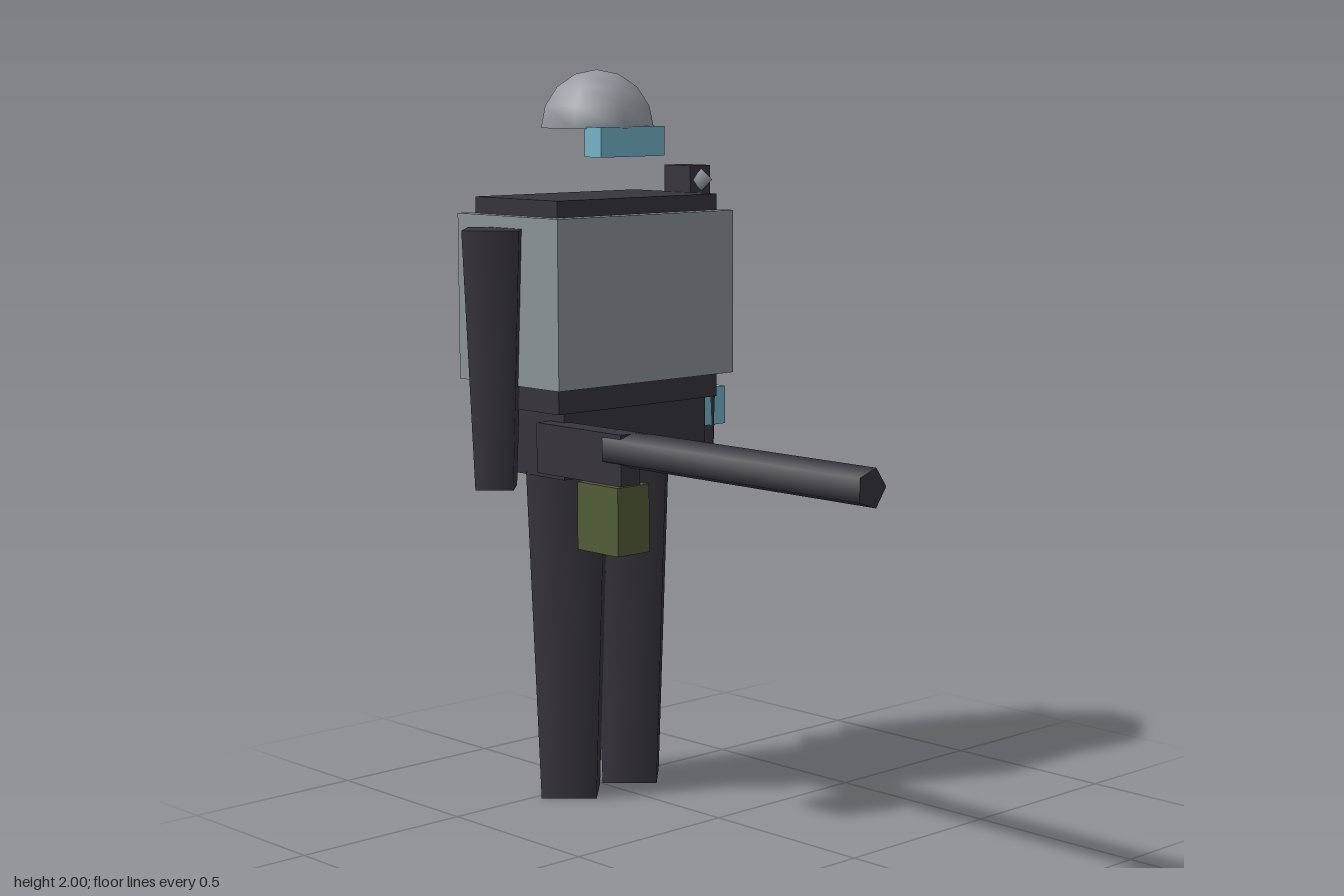
import * as THREE from 'three';

export function createModel() {
  const model = new THREE.Group();
  model.name = 'trooper';

  const material = (name, color) => {
    const m = new THREE.MeshStandardMaterial({ color });
    m.name = name;
    return m;
  };
  const dark = material('darkSuit', 0x37353c);
  const grey = material('armourGrey', 0x8c9599);
  const helmetGrey = material('helmetGrey', 0x959ba2);
  const blue = material('visorBlue', 0x74b8cc);
  const olive = material('oliveGreen', 0x535e37);

  const add = (name, geometry, mat, x, y, z) => {
    const mesh = new THREE.Mesh(geometry, mat);
    mesh.name = name;
    mesh.position.set(x, y, z);
    model.add(mesh);
    return mesh;
  };
  // Box given by its lower and upper corners
  const box = (name, mat, [x0, y0, z0], [x1, y1, z1]) =>
    add(name, new THREE.BoxGeometry(x1 - x0, y1 - y0, z1 - z0), mat,
      (x0 + x1) / 2, (y0 + y1) / 2, (z0 + z1) / 2);
  // Four-sided tapered column with a corner facing forward
  const column = (name, mat, rTop, rBottom, y0, y1, x, z) =>
    add(name, new THREE.CylinderGeometry(rTop, rBottom, y1 - y0, 4), mat, x, (y0 + y1) / 2, z);

  const bodyZ = -0.477;

  // Body and chest armour
  box('hips', dark, [-0.26, 0.915, -0.63], [0.26, 1.095, -0.323]);
  box('torso', dark, [-0.29, 1.095, -0.647], [0.29, 1.66, -0.308]);
  box('chestArmour', grey, [-0.32, 1.163, -0.687], [0.32, 1.615, -0.272]);

  // Limbs and back tanks, mirrored
  for (const [side, s] of [['left', 1], ['right', -1]]) {
    column(side + 'Leg', dark, 0.151, 0.108, 0, 0.92, s * 0.113, bodyZ);
    column(side + 'Arm', dark, 0.107, 0.072, 0.89, 1.583, s * 0.368, bodyZ);
    column(side + 'BackTank', grey, 0.09, 0.09, 1.105, 1.613, s * 0.09, -0.708);
  }

  // Seven-sided domed helmet, closed underneath
  const helmet = add('helmet',
    new THREE.SphereGeometry(0.157, 7, 4, 0, Math.PI * 2, 0, Math.PI / 2),
    helmetGrey, 0, 1.843, bodyZ);
  helmet.rotation.y = Math.PI;
  const base = add('helmetBase', new THREE.CircleGeometry(0.157, 7), helmetGrey, 0, 1.843, bodyZ);
  base.rotation.x = Math.PI / 2;
  box('visor', blue, [-0.115, 1.768, -0.397], [0.115, 1.848, -0.33]);

  // Shoulder camera with a faceted lens
  box('shoulderCamera', dark, [0.269, 1.655, -0.497], [0.346, 1.735, -0.391]);
  const lens = add('cameraLens', new THREE.SphereGeometry(0.031, 6, 2), helmetGrey, 0.307, 1.695, -0.386);
  lens.rotation.y = Math.PI / 2;

  // Wrist display on the left forearm
  box('wristDisplay', blue, [0.317, 0.997, -0.437], [0.417, 1.105, -0.404]);

  // Gun: receiver, five-sided barrel and magazine
  box('gunReceiver', dark, [-0.307, 0.935, -0.38], [-0.24, 1.07, -0.045]);
  const barrel = new THREE.CylinderGeometry(0.051, 0.051, 0.91, 5)
    .rotateX(Math.PI / 2).rotateZ(Math.PI / 2);
  add('gunBarrel', barrel, dark, -0.273, 1.026, 0.345);
  box('gunMagazine', olive, [-0.328, 0.755, -0.192], [-0.218, 0.935, -0.034]);

  return model;
}
